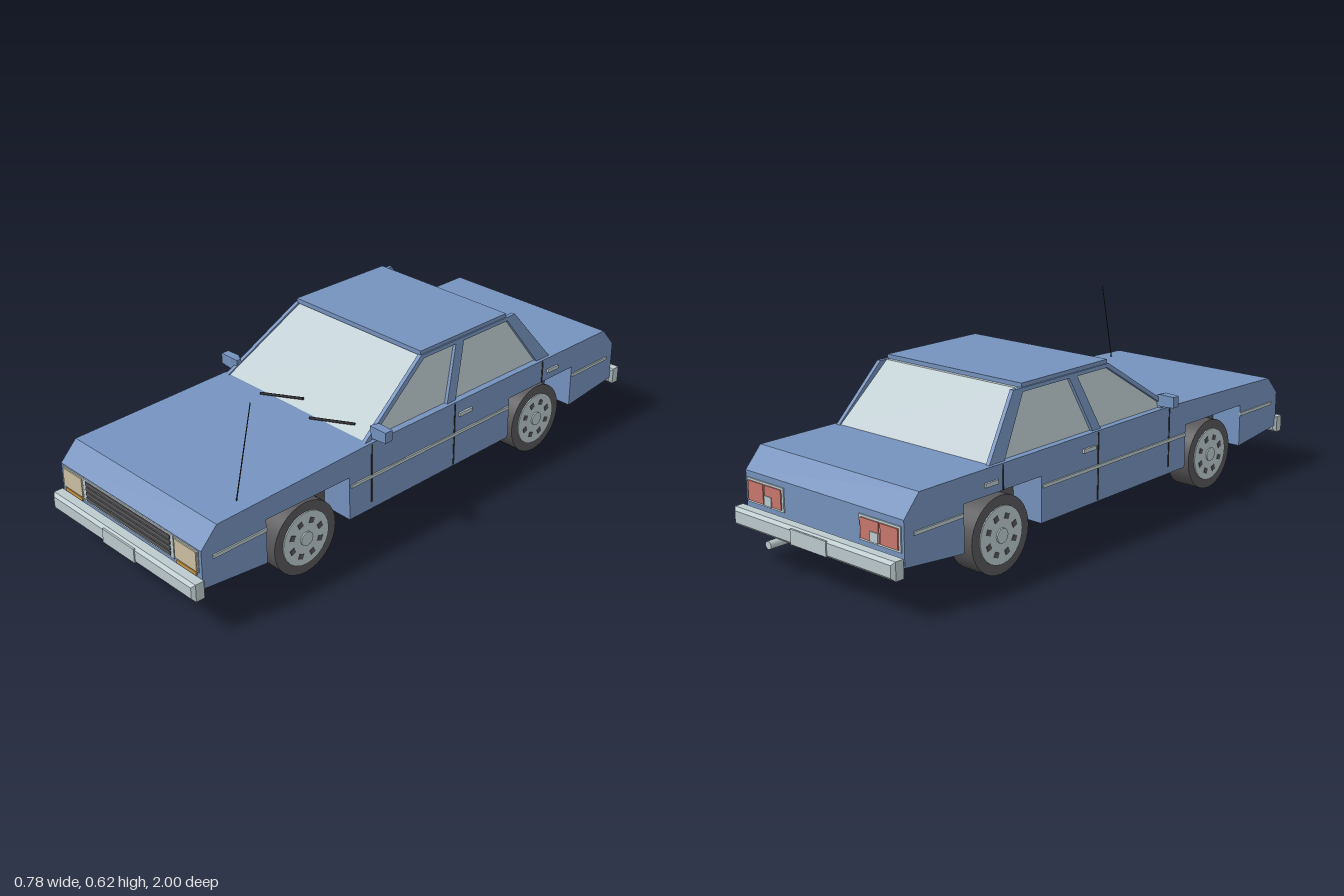
import * as THREE from 'three';

const mat = (name, color) => Object.assign(new THREE.MeshStandardMaterial({ color }), { name });

export function createModel() {
  const car = new THREE.Group();
  car.name = 'sedan';
  const paint = mat('blue paint', 0x7592be);
  const chrome = mat('pale metal', 0xbccace);
  const glass = mat('window glass', 0xbfcdd2);
  const rubber = mat('dark grey', 0x57575a);
  const black = mat('black', 0x2e2e30);
  const lamp = mat('headlight cream', 0xcdc0a2);
  const amber = mat('amber', 0xd29a48);
  const red = mat('tail red', 0xc9776c);

  const add = (name, geo, material, parent = car) => {
    const m = new THREE.Mesh(geo, material);
    m.name = name;
    parent.add(m);
    return m;
  };
  // box given by its min and max on each axis
  const box = (name, material, x0, x1, y0, y1, z0, z1) => {
    const g = new THREE.BoxGeometry(Math.abs(x1 - x0), y1 - y0, z1 - z0);
    g.translate((x0 + x1) / 2, (y0 + y1) / 2, (z0 + z1) / 2);
    return add(name, g, material);
  };
  // solid between two matching quads
  const hexa = (name, material, a, b) => {
    const V = p => new THREE.Vector3(...p);
    const n = V(a[1]).sub(V(a[0])).cross(V(a[2]).sub(V(a[0])));
    if (n.dot(V(b[0]).sub(V(a[0]))) < 0) { a = [...a].reverse(); b = [...b].reverse(); }
    const pos = [];
    const quad = (p, q, r, s) => [p, q, r, p, r, s].forEach(v => pos.push(...v));
    quad(a[3], a[2], a[1], a[0]);
    quad(...b);
    for (let i = 0; i < 4; i++) { const j = (i + 1) % 4; quad(a[i], a[j], b[j], b[i]); }
    const g = new THREE.BufferGeometry();
    g.setAttribute('position', new THREE.Float32BufferAttribute(pos, 3));
    g.computeVertexNormals();
    return add(name, g, material);
  };
  // round bar between two points
  const rod = (name, material, from, to, r0, r1 = r0, sides = 6) => {
    const a = new THREE.Vector3(...from), b = new THREE.Vector3(...to), d = b.clone().sub(a);
    const m = add(name, new THREE.CylinderGeometry(r1, r0, d.length(), sides), material);
    m.position.copy(a).add(b).multiplyScalar(0.5);
    m.quaternion.setFromUnitVectors(new THREE.Vector3(0, 1, 0), d.normalize());
  };

  // lower body: side profile (z, y) with square wheel arches, extruded across
  const W = 0.343;
  const profile = [
    [0.95, 0.145], [0.95, 0.272], [0.89, 0.335], [0.30, 0.354], [-0.88, 0.352], [-0.94, 0.285],
    [-0.94, 0.145], [-0.705, 0.12], [-0.705, 0.27], [-0.37, 0.27], [-0.37, 0.12],
    [0.375, 0.12], [0.375, 0.27], [0.71, 0.27], [0.71, 0.12],
  ].map(p => new THREE.Vector2(...p));
  const bodyGeo = new THREE.ExtrudeGeometry(new THREE.Shape(profile), { depth: 2 * W, bevelEnabled: false });
  bodyGeo.translate(0, 0, -W).rotateY(-Math.PI / 2);
  add('body', bodyGeo, paint);
  box('frontWheelWell', rubber, -0.23, 0.23, 0.13, 0.268, 0.376, 0.709);
  box('rearWheelWell', rubber, -0.23, 0.23, 0.13, 0.268, -0.704, -0.371);

  // cabin glass and roof
  const ring = (w, y, front, back) => [[-w, y, front], [w, y, front], [w, y, back], [-w, y, back]];
  hexa('cabinGlass', glass, ring(0.32, 0.35, 0.297, -0.582), ring(0.282, 0.541, 0, -0.41));
  box('roof', paint, -0.288, 0.288, 0.539, 0.555, -0.397, 0.012);

  // bumpers with bevelled edges, number plates
  for (const s of [1, -1]) {
    const shape = new THREE.Shape([[-0.34, 0.13], [0.34, 0.13], [0.34, 0.168], [-0.34, 0.168]]
      .map(p => new THREE.Vector2(...p)));
    const g = new THREE.ExtrudeGeometry(shape,
      { depth: 0.03, bevelThickness: 0.01, bevelSize: 0.01, bevelSegments: 1 });
    g.translate(0, 0, -0.015);
    add(s > 0 ? 'frontBumper' : 'rearBumper', g, chrome).position.z = s * 0.966;
    box('plate', chrome, -0.078, 0.078, 0.126, 0.174, s * 0.992 - 0.003, s * 0.992 + 0.003);
  }

  // grille
  box('grillePanel', chrome, -0.22, 0.22, 0.19, 0.27, 0.948, 0.954);
  for (let i = 0; i < 4; i++) {
    const y = 0.204 + i * 0.018;
    box('grilleSlot', rubber, -0.207, 0.207, y - 0.0065, y + 0.0065, 0.953, 0.957);
  }

  for (const s of [1, -1]) {
    const X = x => s * x;
    // front lamps
    box('headlightFrame', chrome, X(0.222), X(0.331), 0.196, 0.27, 0.948, 0.953);
    box('headlight', lamp, X(0.228), X(0.326), 0.2, 0.265, 0.952, 0.957);
    box('turnSignal', amber, X(0.234), X(0.322), 0.184, 0.195, 0.948, 0.956);
    // tail lamps
    box('tailFrame', chrome, X(0.165), X(0.333), 0.188, 0.265, -0.944, -0.938);
    box('tailOuter', red, X(0.255), X(0.325), 0.195, 0.258, -0.948, -0.943);
    box('tailInner', red, X(0.173), X(0.248), 0.195, 0.258, -0.948, -0.943);
    box('reverseLamp', chrome, X(0.215), X(0.248), 0.195, 0.226, -0.951, -0.947);

    // pillars: (z, y) quads laid on the sloping cabin side
    const side = y => 0.322 - (y - 0.355) * 0.205;
    const pillar = (name, pts) => hexa(name, paint,
      pts.map(([z, y]) => [X(side(y) - 0.005), y, z]), pts.map(([z, y]) => [X(side(y) + 0.009), y, z]));
    pillar('frontPillar', [[0.305, 0.35], [0.28, 0.35], [-0.015, 0.542], [0.014, 0.542]]);
    pillar('middlePillar', [[-0.07, 0.35], [-0.11, 0.35], [-0.188, 0.542], [-0.15, 0.542]]);
    pillar('rearPillar', [[-0.522, 0.35], [-0.588, 0.35], [-0.438, 0.542], [-0.39, 0.542]]);
    pillar('windowTopRail', [[0.01, 0.53], [0.01, 0.542], [-0.43, 0.542], [-0.43, 0.53]]);

    // mirrors, tapered toward the door
    const mirrorEnd = (x, y0, y1, z0, z1) => [[X(x), y0, z0], [X(x), y1, z0], [X(x), y1, z1], [X(x), y0, z1]];
    hexa('mirror', paint, mirrorEnd(0.315, 0.366, 0.396, 0.245, 0.262), mirrorEnd(0.335, 0.361, 0.402, 0.238, 0.27));
    hexa('mirrorShell', paint, mirrorEnd(0.335, 0.361, 0.402, 0.238, 0.27), mirrorEnd(0.388, 0.364, 0.4, 0.238, 0.267));
    box('mirrorFoot', paint, X(0.315), X(0.333), 0.35, 0.372, 0.245, 0.262);

    // side mouldings, handles, door seams
    for (const [a, b] of [[0.71, 0.91], [-0.365, 0.37], [-0.905, -0.71]])
      box('sideMoulding', chrome, X(0.342), X(0.348), 0.232, 0.243, a, b);
    for (const [a, b] of [[-0.175, -0.115], [-0.62, -0.565]])
      box('doorHandle', chrome, X(0.342), X(0.35), 0.297, 0.31, a, b);
    for (const [z, y0] of [[0.28, 0.145], [-0.097, 0.125], [-0.54, 0.27]])
      box('doorSeam', black, X(0.342), X(0.3445), y0, 0.348, z - 0.003, z + 0.003);

    // wheels
    for (const z of [0.545, -0.535]) {
      const wheel = new THREE.Group();
      wheel.name = 'wheel';
      wheel.position.set(0, 0.125, z);
      car.add(wheel);
      const disc = (name, material, r, x0, x1, n) => {
        const g = new THREE.CylinderGeometry(r, r, x1 - x0, n);
        g.rotateZ(Math.PI / 2).translate(X((x0 + x1) / 2), 0, 0);
        return add(name, g, material, wheel);
      };
      disc('tire', rubber, 0.124, 0.237, 0.327, 32);
      disc('hubcap', chrome, 0.092, 0.32, 0.331, 24);
      disc('hubCentre', chrome, 0.024, 0.33, 0.336, 12);
      for (let i = 0; i < 8; i++) {
        const a = (i + 0.5) * Math.PI / 4;
        const hole = add('hubcapHole', new THREE.BoxGeometry(0.004, 0.018, 0.018), rubber, wheel);
        hole.position.set(X(0.331), Math.sin(a) * 0.06, Math.cos(a) * 0.06);
        hole.rotation.x = -a;
      }
    }
  }

  // wipers, antenna, exhaust
  for (const x of [-0.138, 0.097])
    rod('wiper', black, [x, 0.358, 0.312], [x + 0.158, 0.381, 0.268], 0.0045);
  rod('antenna', black, [0.291, 0.335, 0.775], [0.28, 0.625, 0.70], 0.002, 0.0015);
  rod('exhaust', chrome, [0.175, 0.1, -0.82], [0.175, 0.1, -1.0], 0.013, 0.013, 16);
  return car;
}
